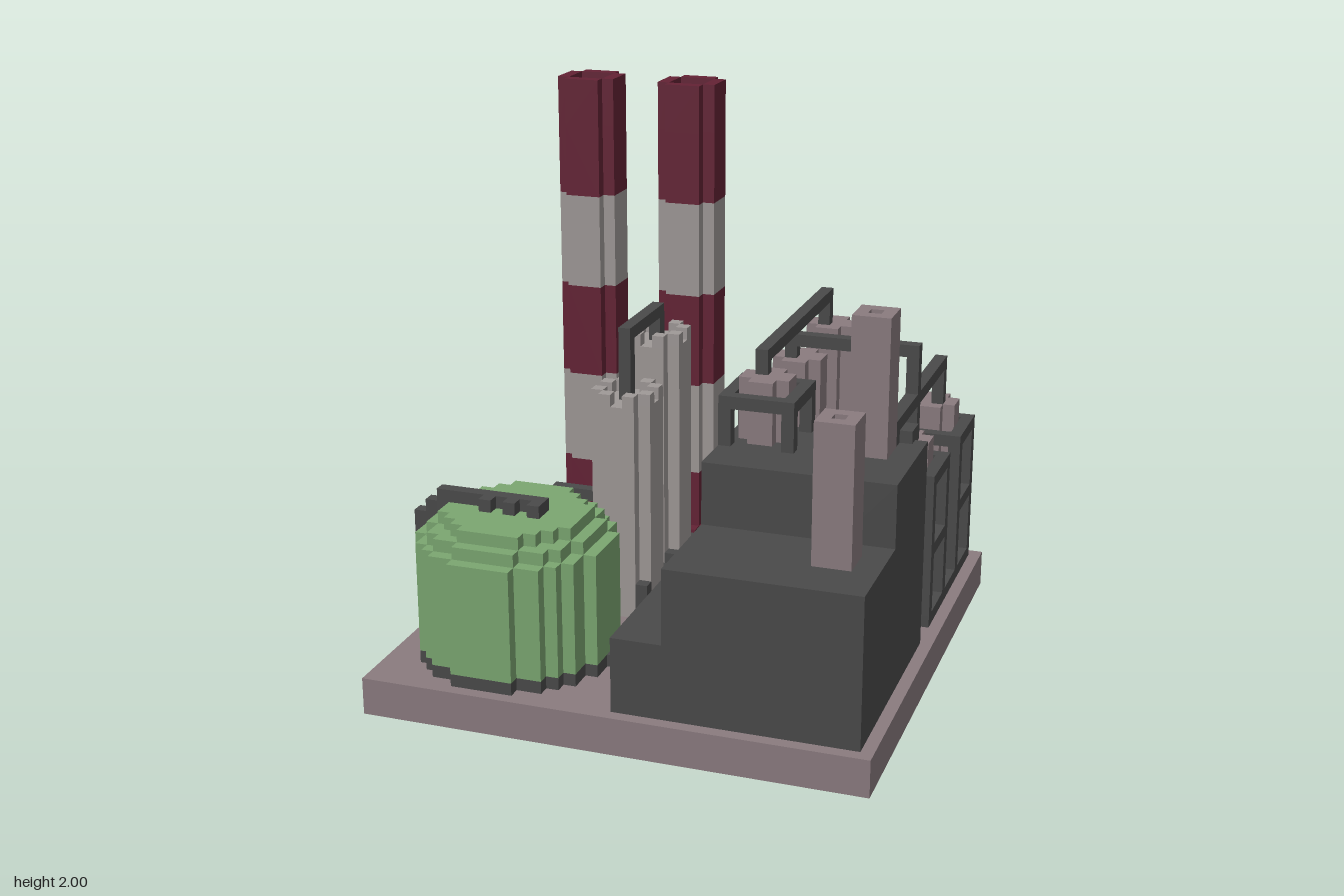
import * as THREE from 'three';

// All sizes are in blocks; the whole group is scaled by 1/22.
const U = 1 / 22;

const material = (name, color) => {
  const m = new THREE.MeshStandardMaterial({ color });
  m.name = name;
  return m;
};

export function createModel() {
  const mauve = material('mauve', 0x8a7b7f);
  const dark = material('darkGrey', 0x4a4a4a);
  const red = material('deepRed', 0x642235);
  const light = material('lightGrey', 0x9f9997);
  const green = material('green', 0x7ba671);

  const model = new THREE.Group();
  model.name = 'factory';
  let target = model;

  const part = (name, build) => {
    const previous = target;
    target = new THREE.Group();
    target.name = name;
    previous.add(target);
    build();
    target = previous;
  };

  // box between two corners
  const box = (name, mat, x0, x1, y0, y1, z0, z1) => {
    const mesh = new THREE.Mesh(new THREE.BoxGeometry(x1 - x0, y1 - y0, z1 - z0), mat);
    mesh.position.set((x0 + x1) / 2, (y0 + y1) / 2, (z0 + z1) / 2);
    mesh.name = name;
    target.add(mesh);
  };

  // upright prism with a stepped round outline, given the width of each row
  const disc = (name, mat, rows, cx, cz, y0, y1) => {
    const half = rows.length / 2;
    const pts = [];
    rows.forEach((w, i) => pts.push([w / 2, i - half], [w / 2, i + 1 - half]));
    [...rows].reverse().forEach((w, i) => pts.push([-w / 2, half - i], [-w / 2, half - i - 1]));
    const shape = new THREE.Shape(pts.map(([x, z]) => new THREE.Vector2(x, z)));
    const geo = new THREE.ExtrudeGeometry(shape, { depth: y1 - y0, bevelEnabled: false });
    geo.rotateX(-Math.PI / 2);
    const mesh = new THREE.Mesh(geo, mat);
    mesh.position.set(cx, y0, cz);
    mesh.name = name;
    target.add(mesh);
  };

  // square pipe through block cells
  const pipe = (name, cells) => part(name, () => {
    for (let i = 0; i + 1 < cells.length; i++) {
      const [a, b] = [cells[i], cells[i + 1]];
      const lo = a.map((v, k) => Math.min(v, b[k]));
      const hi = a.map((v, k) => Math.max(v, b[k]) + 1);
      box('pipeRun', dark, lo[0], hi[0], lo[1], hi[1], lo[2], hi[2]);
    }
  });

  const D4 = [2, 4, 4, 2];
  const D5 = [3, 5, 5, 5, 3];
  const D7 = [3, 5, 7, 7, 7, 5, 3];
  const D11 = [5, 7, 9, 11, 11, 11, 11, 11, 9, 7, 5];
  const D13 = [5, 9, 11, 11, 13, 13, 13, 13, 13, 11, 11, 9, 5];
  const D15 = [5, 9, 11, 13, 13, 15, 15, 15, 15, 15, 13, 13, 11, 9, 5];

  box('base', mauve, -20, 20, 0, 3, -20, 20);

  // striped chimneys with open tops
  for (const x of [-14.5, -5.5]) part('chimney', () => {
    const z = -15.5;
    disc('chimneyFoot', red, D7, x, z, 3, 5);
    [[5, 10, red], [10, 18, light], [18, 26, red], [26, 34, light], [34, 40, red]]
      .forEach(([a, b, m]) => disc('chimneyBand', m, D5, x, z, a, b));
    for (const s of [-2, 2]) {
      box('chimneyRim', red, x + s - 0.5, x + s + 0.5, 40, 44, z - 1.5, z + 1.5);
      box('chimneyRim', red, x - 1.5, x + 1.5, 40, 44, z + s - 0.5, z + s + 0.5);
    }
  });

  // green storage tank
  part('storageTank', () => {
    disc('tankFoot', dark, D15, -10.5, 11.5, 3, 4);
    disc('tankBody', green, D15, -10.5, 11.5, 4, 13);
    disc('tankShoulder', green, D13, -10.5, 11.5, 13, 14);
    disc('tankTop', green, D11, -10.5, 11.5, 14, 15);
    pipe('tankPipe', [[-19, 3, 11], [-19, 13, 11], [-18, 13, 11], [-18, 14, 11],
      [-17, 14, 11], [-17, 15, 11], [-9, 15, 11]]);
    for (const x of [-13, -11, -9]) box('pipeOutlet', dark, x, x + 1, 15, 16, 12, 13);
  });

  // stepped main building with two hollow stacks
  part('building', () => {
    box('lowWing', dark, 0, 4, 3, 9, 0, 19);
    box('frontHall', dark, 4, 19, 3, 15, 10, 19);
    box('rearHall', dark, 4, 19, 3, 20, 0, 10);
    for (const [z, y0, y1] of [[2, 20, 31], [12, 15, 26]]) part('roofStack', () => {
      box('stackBody', mauve, 14, 17, y0, y1 - 2, z, z + 3);
      for (const s of [0, 2]) {
        box('stackRim', mauve, 14 + s, 15 + s, y1 - 2, y1, z, z + 3);
        box('stackRim', mauve, 15, 16, y1 - 2, y1, z + s, z + s + 1);
      }
    });
    pipe('drainPipe', [[17, 20, 0], [17, 20, -1], [17, 3, -1]]);
  });

  // vessel held in an open frame: corner posts and square rings
  const framedVessel = (x, z, y0, rings, top) => part('framedVessel', () => {
    const yTop = rings[rings.length - 1] + 1;
    for (const i of [0, 5]) for (const k of [0, 5])
      box('framePost', dark, x + i, x + i + 1, y0, yTop, z + k, z + k + 1);
    for (const y of rings) for (const i of [0, 5]) {
      box('frameBeam', dark, x + 1, x + 5, y, y + 1, z + i, z + i + 1);
      box('frameBeam', dark, x + i, x + i + 1, y, y + 1, z + 1, z + 5);
    }
    disc('vessel', mauve, D4, x + 3, z + 3, y0, top);
  });
  box('frameSlab', dark, 4, 19, 3, 4, -19, -3);
  framedVessel(4, -19, 4, [9, 15], 24);
  framedVessel(13, -19, 4, [9, 15], 18);
  framedVessel(4, -9, 4, [9, 15], 24);
  framedVessel(13, -9, 4, [9, 15], 18);
  framedVessel(4, 0, 20, [23], 25);

  // overhead pipes between the vessels
  pipe('highPipe', [[6, 25, 2], [6, 26, 2], [6, 26, -16], [6, 24, -16]]);
  pipe('lowerPipe', [[16, 20, 1], [16, 21, 1], [16, 21, -16], [16, 18, -16]]);
  pipe('crossPipe', [[6, 24, -6], [6, 25, -6], [16, 25, -6], [16, 18, -6]]);
  box('pipeEnd', dark, 7, 8, 19, 20, -20, -19);

  // pale towers with crenellated tops and dark corner feet
  for (const [z, top] of [[-6.5, 24], [0.5, 21]]) part('paleTower', () => {
    const x = -5.5;
    disc('towerBody', light, D5, x, z, 3, top);
    for (const a of [-1, 1]) for (const b of [-1, 1]) {
      for (const [i, k] of [[a, 2 * b], [2 * a, b]])
        box('merlon', light, x + i - 0.5, x + i + 0.5, top, top + 1, z + k - 0.5, z + k + 0.5);
      box('towerFoot', dark, x + 2 * a - 0.5, x + 2 * a + 0.5, 3, 6, z + 2 * b - 0.5, z + 2 * b + 0.5);
    }
  });
  pipe('towerTopPipe', [[-6, 21, 0], [-6, 26, 0], [-6, 26, -7], [-6, 24, -7]]);
  for (const y of [4, 18]) box('towerLink', dark, -6, -5, y, y + 1, -4, -2);

  // low pale tank on corner feet, with its pipes
  part('lowTank', () => {
    box('lowTankBody', light, -16, -13, 4, 8, -9, 1);
    for (const x of [-17, -13]) {
      box('lowTankSide', light, x, x + 1, 4, 8, -8, 0);
      for (const z of [-9, 0]) box('lowTankFoot', dark, x, x + 1, 3, 5, z, z + 1);
    }
    pipe('feedPipe', [[-15, 8, -7], [-15, 9, -7], [-8, 9, -7]]);
    pipe('sidePipe', [[-18, 5, -7], [-19, 5, -7], [-19, 3, -7]]);
    pipe('sidePipe', [[-18, 5, -2], [-19, 5, -2], [-19, 5, 0], [-19, 3, 0]]);
  });

  // ground pipes linking chimneys and frames
  pipe('groundPipe', [[-12, 3, -17], [3, 3, -17]]);
  box('pipeJoint', dark, 3, 4, 3, 5, -17, -16);
  pipe('groundPipe', [[-12, 3, -14], [1, 3, -14], [1, 3, -7], [3, 3, -7]]);
  box('pipeJoint', dark, 3, 4, 3, 5, -7, -6);
  box('groundPipe', dark, -4, 0, 3, 4, 11, 12);

  model.scale.setScalar(U);
  const root = new THREE.Group();
  root.name = 'model';
  root.add(model);
  return root;
}
